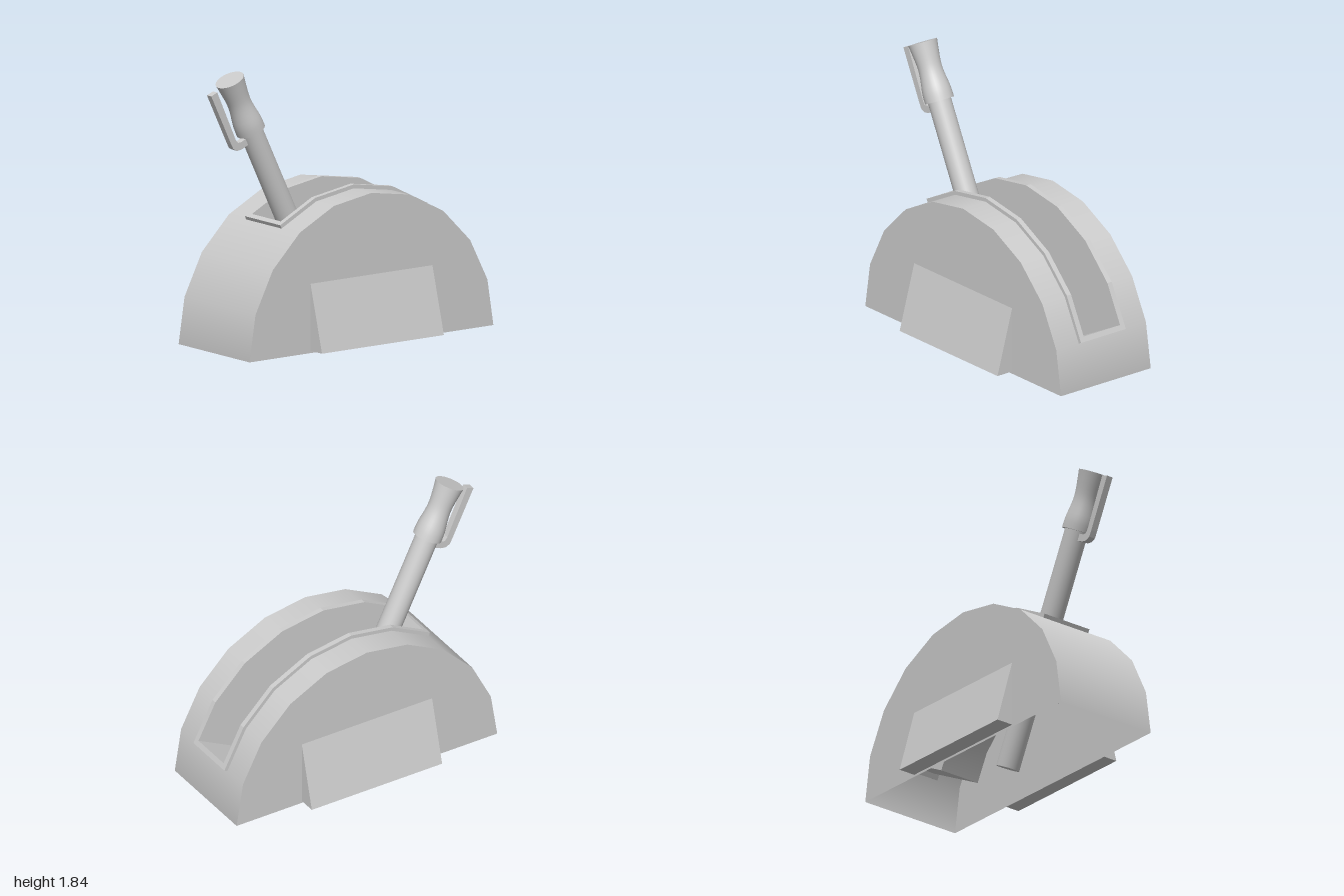
import * as THREE from 'three';

const CX = 0.02, CY = 0.04;          // centre of all arcs
const R = 0.98, RIM = 1.005, HALF = 0.37;
const STEP = Math.PI / 10;           // ten facets in the half circle
const SLOT = 0.15, LIP = 0.035;      // half width of slot, width of its frame

const solid = new THREE.MeshStandardMaterial({ color: 0xcccccc });
const sheet = new THREE.MeshStandardMaterial({ color: 0xcccccc, side: THREE.DoubleSide });
const dir = (a, r = 1) => new THREE.Vector2(Math.cos(a) * r, Math.sin(a) * r);

function add(group, name, geometry, material = solid) {
  const mesh = new THREE.Mesh(geometry, material);
  mesh.name = name;
  group.add(mesh);
  return mesh;
}

// faceted arc surface from step k0 to k1, spanning z0..z1
function arc(k0, k1, z0, z1) {
  return new THREE.CylinderGeometry(R, R, z1 - z0, k1 - k0, 1, true, k0 * STEP + Math.PI / 2, (k1 - k0) * STEP)
    .rotateX(Math.PI / 2).translate(0, 0, (z0 + z1) / 2);
}

// slot outline sunk by depth d, with its ends pulled in by inset
function slotLine(d, inset) {
  const pts = [];
  for (let k = 1; k <= 7; k++) {
    if (k === 1 || k === 7) {
      const side = k === 1 ? 1 : -1;
      const n = (k + side * 0.5) * STEP;
      pts.push(dir(k * STEP, RIM).sub(dir(n, d)).add(dir(n + side * Math.PI / 2, inset)));
    } else pts.push(dir(k * STEP, RIM - d / Math.cos(STEP / 2)));
  }
  return pts;
}

// smooth ribbon following pts, as wide as the slot
function ribbon(pts) {
  const pos = [], index = [];
  pts.forEach((p, i) => {
    pos.push(p.x, p.y, SLOT, p.x, p.y, -SLOT);
    const a = 2 * i;
    if (i) index.push(a - 2, a - 1, a, a - 1, a + 1, a);
  });
  const g = new THREE.BufferGeometry();
  g.setAttribute('position', new THREE.Float32BufferAttribute(pos, 3));
  g.setIndex(index);
  g.computeVertexNormals();
  return g;
}

function slab(pts, depth, z0) {
  return new THREE.ExtrudeGeometry(new THREE.Shape(pts), { depth, bevelEnabled: false, curveSegments: 6 }).translate(0, 0, z0);
}

function buildHousing() {
  const g = new THREE.Group();
  g.name = 'housing';
  const edge = SLOT + LIP;
  // hollow shell, open below
  add(g, 'shellFrontEnd', arc(0, 1, -HALF, HALF), sheet);
  add(g, 'shellRearEnd', arc(7, 10, -HALF, HALF), sheet);
  add(g, 'shellStrip', arc(1, 7, edge, HALF), sheet);
  add(g, 'shellStrip', arc(1, 7, -HALF, -edge), sheet);
  const half = [];
  for (let k = 0; k <= 10; k++) half.push(dir(k * STEP, R));
  const face = new THREE.ShapeGeometry(new THREE.Shape(half));
  add(g, 'sideWall', face, sheet).position.z = HALF;
  const back = add(g, 'sideWall', face.clone().rotateY(Math.PI), sheet);
  back.position.z = -HALF;

  // raised frame around the slot
  const rail = [...slotLine(0, 0), ...slotLine(0.028, 0).reverse()];
  add(g, 'slotRail', slab(rail, LIP, SLOT));
  add(g, 'slotRail', slab(rail, LIP, -edge));
  for (const i of [0, 6]) {
    const bar = [slotLine(0, 0)[i], slotLine(0, LIP)[i], slotLine(0.028, LIP)[i], slotLine(0.028, 0)[i]];
    add(g, 'slotEndBar', slab(bar, 2 * SLOT, -SLOT));
  }

  // deep pocket below the slot
  const top = slotLine(0, LIP), floor = slotLine(0.51, LIP);
  const wall = new THREE.ShapeGeometry(new THREE.Shape([...top, ...floor.slice().reverse()]));
  for (const z of [-SLOT, SLOT]) add(g, 'pocketSide', wall, sheet).position.z = z;
  add(g, 'pocketFloor', ribbon(floor), sheet);
  for (const i of [0, 6]) add(g, 'pocketEnd', ribbon([top[i], floor[i]]), sheet);
  g.position.set(CX, CY, 0);
  return g;
}

function buildLever() {
  const g = new THREE.Group();
  g.name = 'lever';
  const pole = new THREE.CylinderGeometry(0.076, 0.076, 1.65, 32).translate(0, 0.818, 0);
  add(g, 'leverPole', pole);
  // waisted grip, capped with flat discs
  const profile = new THREE.SplineCurve([[0.096, 1.57], [0.094, 1.64], [0.08, 1.74], [0.078, 1.81], [0.088, 1.9], [0.096, 1.957]]
    .map(([r, y]) => new THREE.Vector2(r, y)));
  add(g, 'grip', new THREE.LatheGeometry(profile.getPoints(15), 32));
  add(g, 'gripTop', new THREE.CircleGeometry(0.096, 32).rotateX(-Math.PI / 2).translate(0, 1.957, 0));
  add(g, 'gripBottom', new THREE.CircleGeometry(0.096, 32).rotateX(Math.PI / 2).translate(0, 1.57, 0));
  g.position.set(CX, CY, 0);
  g.rotation.z = THREE.MathUtils.degToRad(25.9);
  return g;
}

export function createModel() {
  const model = new THREE.Group();
  model.name = 'throttleLever';
  model.add(buildHousing(), buildLever());

  // squeeze handle beside the grip
  const squeeze = [[-1, 1.717], [-0.842, 1.39], [-0.822, 1.352], [-0.79, 1.337], [-0.755, 1.342], [-0.66, 1.385],
    [-0.68, 1.43], [-0.76, 1.39], [-0.785, 1.388], [-0.803, 1.41], [-0.952, 1.737]];
  add(model, 'squeezeHandle', slab(squeeze.map(([x, y]) => new THREE.Vector2(x, y)), 0.046, -0.023));

  // wedge-shaped feet on both sides
  for (const s of [-1, 1]) {
    const tri = [[0.37, 0.055], [0.49, 0.055], [0.37, 0.49]].map(([z, y]) => new THREE.Vector2(-s * z, y));
    add(model, 'sideWedge', slab(tri, 0.98, -0.49).rotateY(Math.PI / 2)).position.x = CX;
  }
  return model;
}
